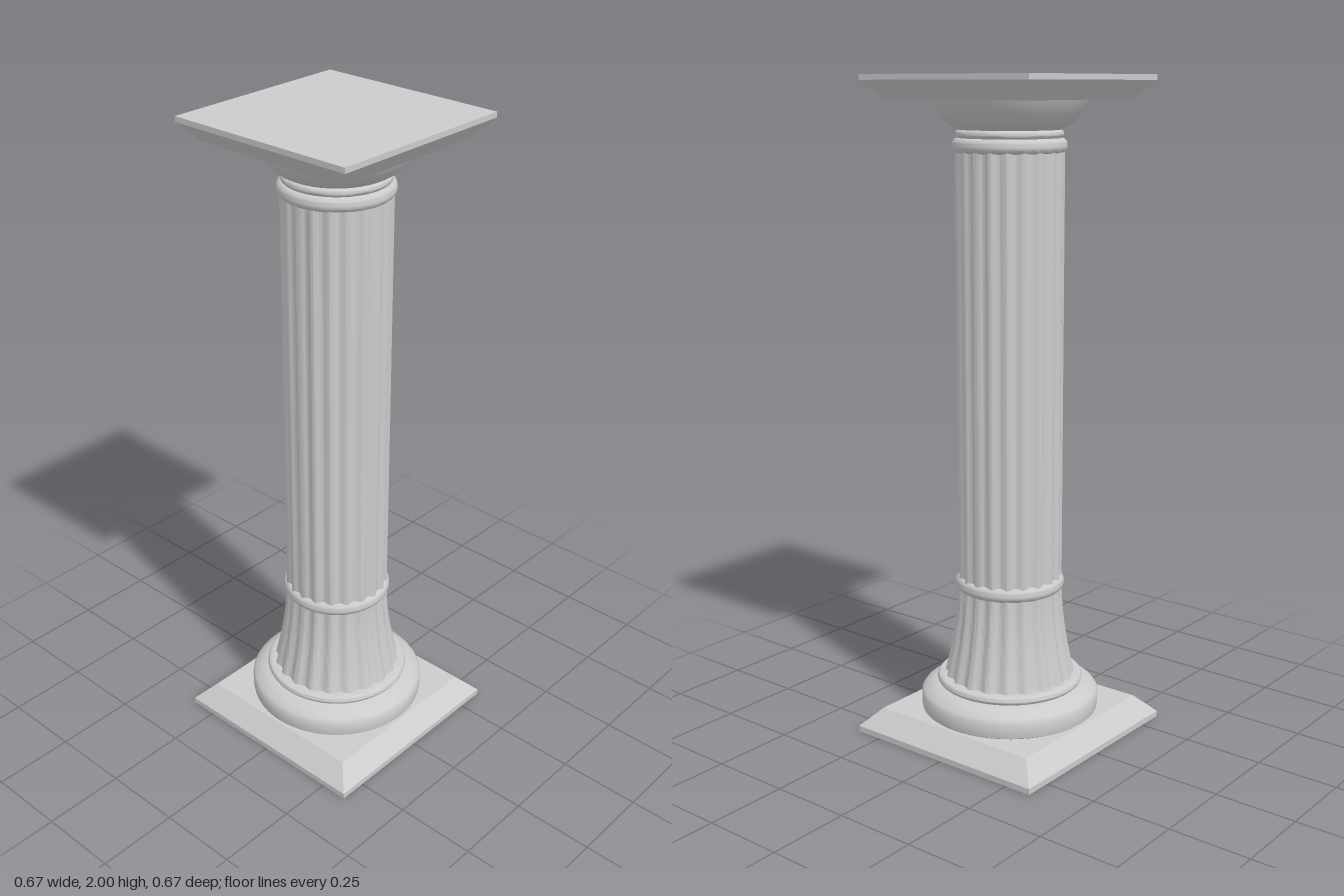
import * as THREE from 'three';
import { toCreasedNormals } from 'three/addons/utils/BufferGeometryUtils.js';

const FLUTES = 20;
const stone = new THREE.MeshStandardMaterial({ color: 0xcccccc });
const flatStone = new THREE.MeshStandardMaterial({ color: 0xcccccc, flatShading: true });
const toPoints = (profile) => profile.map(([r, y]) => new THREE.Vector2(r, y));

// Square slab: each profile entry is [half width, height]
function squareSlab(name, profile) {
  const points = toPoints(profile.map(([half, y]) => [half * Math.SQRT2, y]));
  const mesh = new THREE.Mesh(new THREE.LatheGeometry(points, 4, Math.PI / 4), flatStone);
  mesh.name = name;
  return mesh;
}

// Round moulding turned from a profile of [radius, height]
function moulding(name, profile) {
  const geometry = new THREE.LatheGeometry(toPoints(profile), 64);
  const mesh = new THREE.Mesh(toCreasedNormals(geometry, 0.7), stone);
  mesh.name = name;
  return mesh;
}

// Band with a half-round edge
function roundBand(name, radius, bottom, top) {
  const h = (top - bottom) / 2;
  const bulge = Math.min(h, 0.016);
  const profile = [[radius - 0.035, bottom]];
  for (let i = 0; i <= 10; i++) {
    const a = -Math.PI / 2 + (Math.PI * i) / 10;
    profile.push([radius - bulge + bulge * Math.cos(a), bottom + h + h * Math.sin(a)]);
  }
  profile.push([radius - 0.035, top]);
  return moulding(name, profile);
}

// Turned drum whose surface is pressed into shallow vertical flutes
function flutedDrum(name, profile) {
  const geometry = new THREE.LatheGeometry(toPoints(profile), FLUTES * 10);
  const p = geometry.attributes.position;
  for (let i = 0; i < p.count; i++) {
    const angle = Math.atan2(p.getX(i), p.getZ(i));
    const s = 1 - 0.028 * (1 - Math.cos(angle * FLUTES));
    p.setX(i, p.getX(i) * s);
    p.setZ(i, p.getZ(i) * s);
  }
  const mesh = new THREE.Mesh(toCreasedNormals(geometry, 0.8), stone);
  mesh.name = name;
  return mesh;
}

export function createModel() {
  const column = new THREE.Group();
  column.name = 'column';

  // Base
  column.add(squareSlab('plinth', [[0, 0], [0.335, 0], [0.335, 0.018], [0.28, 0.075], [0, 0.075]]));
  column.add(moulding('baseTorus', [
    [0.265, 0.072], [0.273, 0.078], [0.275, 0.09], [0.275, 0.125], [0.268, 0.135],
    [0.25, 0.147], [0.23, 0.157], [0.18, 0.16],
  ]));
  column.add(roundBand('baseFillet', 0.225, 0.158, 0.184));

  // Flared lower drum, sweeping up to the shaft radius
  const flare = new THREE.CubicBezierCurve(
    new THREE.Vector2(0.202, 0.178), new THREE.Vector2(0.18, 0.27),
    new THREE.Vector2(0.163, 0.36), new THREE.Vector2(0.16, 0.47),
  ).getPoints(14).map((v) => [v.x, v.y]);
  column.add(flutedDrum('flaredDrum', flare));

  // Shaft and its bands
  column.add(roundBand('lowerBand', 0.167, 0.46, 0.503));
  column.add(flutedDrum('shaft', [[0.16, 0.48], [0.16, 1.8]]));
  column.add(roundBand('upperBand', 0.167, 1.78, 1.822));

  // Capital
  column.add(roundBand('neckBand', 0.157, 1.82, 1.846));
  const bowl = new THREE.QuadraticBezierCurve(
    new THREE.Vector2(0.14, 1.842), new THREE.Vector2(0.2, 1.862), new THREE.Vector2(0.235, 1.932),
  ).getPoints(12).map((v) => [v.x, v.y]);
  column.add(moulding('echinus', bowl));
  column.add(squareSlab('abacus', [[0, 1.93], [0.256, 1.93], [0.304, 1.984], [0.304, 2], [0, 2]]));

  return column;
}
